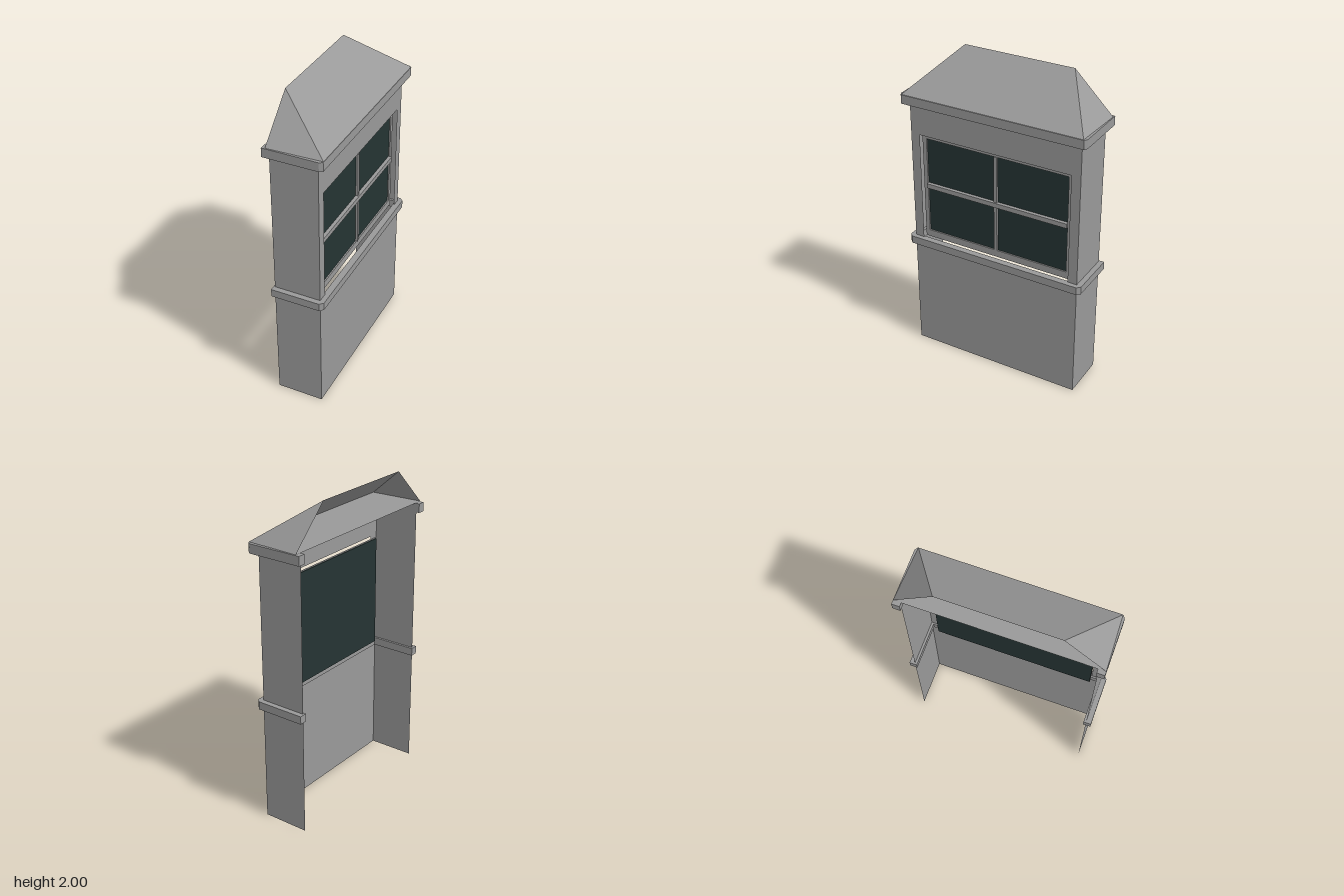
import * as THREE from 'three';

export function createModel() {
  const root = new THREE.Group();
  const stone = new THREE.MeshStandardMaterial({ color: 0x999999, side: THREE.DoubleSide });
  stone.name = 'grey stone';
  const glass = new THREE.MeshStandardMaterial({ color: 0x253433, side: THREE.DoubleSide });
  glass.name = 'dark glass';

  const add = (name, geometry, material = stone, x = 0, y = 0, z = 0) => {
    const mesh = new THREE.Mesh(geometry, material);
    mesh.name = name;
    mesh.position.set(x, y, z);
    root.add(mesh);
    return mesh;
  };
  const box = (name, x0, x1, y0, y1, z0, z1, material) =>
    add(name, new THREE.BoxGeometry(x1 - x0, y1 - y0, z1 - z0), material,
      (x0 + x1) / 2, (y0 + y1) / 2, (z0 + z1) / 2);
  const rect = (Type, w, y0, y1) => new Type([
    [-w, y0], [w, y0], [w, y1], [-w, y1]].map(p => new THREE.Vector2(...p)));

  const BACK = -0.16, FRONT = 0.135, SIDE = 0.565, EAVE = 1.76;

  // Thin front wall with the window opening
  const wall = rect(THREE.Shape, SIDE, 0, EAVE);
  wall.holes.push(rect(THREE.Path, 0.505, 0.79, 1.5));
  add('frontWall', new THREE.ShapeGeometry(wall).rotateY(Math.PI / 2), stone, FRONT);

  // Side walls; the back is open
  for (const s of [1, -1]) {
    add(s > 0 ? 'sideWallA' : 'sideWallB', new THREE.PlaneGeometry(FRONT - BACK, EAVE), stone,
      (FRONT + BACK) / 2, EAVE / 2, s * SIDE);
  }

  // Mouldings wrapping three sides, with clipped corners
  const moulding = (name, y0, y1, back, front, side, clipX, clipZ, inX, inZ) => {
    const half = [[back, inZ], [back, side], [front - clipX, side], [front, side - clipZ]];
    const mirrored = half.map(([x, z]) => [x, -z]).reverse();
    const points = [...half, ...mirrored, [inX, -inZ], [inX, inZ]];
    const shape = new THREE.Shape(points.map(p => new THREE.Vector2(...p)));
    const geometry = new THREE.ExtrudeGeometry(shape, { depth: y1 - y0, bevelEnabled: false });
    add(name, geometry.rotateX(Math.PI / 2), stone, 0, y1);
  };
  moulding('sillBand', 0.74, 0.79, -0.168, 0.165, 0.598, 0.022, 0.022, 0.125, 0.55);
  moulding('cornice', 1.7, 1.757, -0.183, 0.18, 0.608, 0.02, 0.013, 0.13, 0.56);

  // Recessed window: frame, glazing bars and glass
  const frame = rect(THREE.Shape, 0.505, 0.79, 1.5);
  frame.holes.push(rect(THREE.Path, 0.478, 0.835, 1.47));
  add('windowFrame', new THREE.ExtrudeGeometry(frame, { depth: 0.012, bevelEnabled: false })
    .rotateY(Math.PI / 2), stone, 0.095);
  box('crossBar', 0.095, 0.12, 1.14, 1.17, -0.478, 0.478);
  box('mullion', 0.095, 0.112, 0.835, 1.47, -0.01, 0.01);
  box('windowGlass', 0.09, 0.098, 0.792, 1.498, -0.503, 0.503, glass);

  // Half hipped roof: one long slope, two hips and a flat ceiling
  const eave = [[BACK, EAVE, 0.606], [0.18, EAVE, 0.592], [0.18, EAVE, -0.592], [BACK, EAVE, -0.606]];
  const ridge = [[BACK, 2, 0.36], [BACK, 2, -0.36]];
  const panel = (name, ...p) => {
    const corners = p.length === 4 ? [p[0], p[1], p[2], p[0], p[2], p[3]] : p;
    const geometry = new THREE.BufferGeometry();
    geometry.setAttribute('position', new THREE.Float32BufferAttribute(corners.flat(), 3));
    geometry.computeVertexNormals();
    add(name, geometry);
  };
  panel('roofSlope', eave[1], eave[2], ridge[1], ridge[0]);
  panel('roofHipA', eave[0], eave[1], ridge[0]);
  panel('roofHipB', eave[2], eave[3], ridge[1]);
  panel('roofCeiling', ...eave);

  return root;
}
